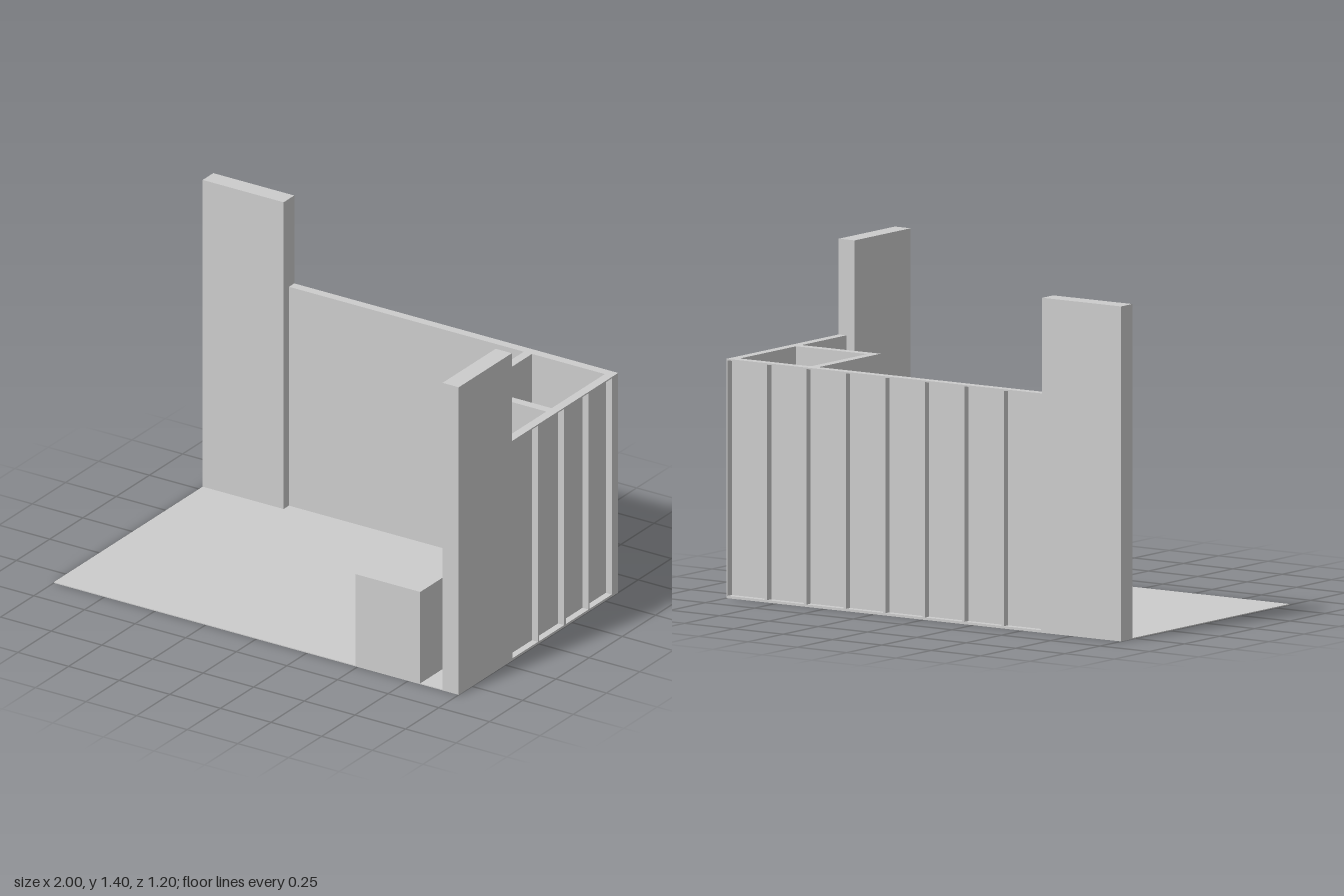
import * as THREE from 'three';

const material = new THREE.MeshStandardMaterial({ color: 0xcccccc });

// Box given by its two opposite corners
function block(parent, name, [x0, y0, z0], [x1, y1, z1]) {
  const mesh = new THREE.Mesh(new THREE.BoxGeometry(x1 - x0, y1 - y0, z1 - z0), material);
  mesh.position.set((x0 + x1) / 2, (y0 + y1) / 2, (z0 + z1) / 2);
  mesh.name = name;
  parent.add(mesh);
  return mesh;
}

// Wall running along local x, inner skin at local z = 0, open frame towards -z.
// posts: list of [start, end] along x
function framedWall(name, length, posts) {
  const wall = new THREE.Group();
  wall.name = name;
  const depth = 0.04, skin = 0.01;
  block(wall, 'skin', [0, 0, -skin], [length, 1, 0]);
  block(wall, 'topRail', [0, 0.994, -depth], [length, 1, -skin]);
  block(wall, 'bottomRail', [0, 0, -depth], [length, 0.01, -skin]);
  for (const [a, b] of posts) block(wall, 'post', [a, 0.01, -depth], [b, 0.994, -skin]);
  return wall;
}

export function createModel() {
  const booth = new THREE.Group();
  booth.name = 'exhibitionBooth';

  block(booth, 'floor', [-1, 0, -0.6], [1, 0.004, 0.6]);

  // Tall panels
  block(booth, 'backTower', [-1, 0, -0.6], [-0.6, 1.4, -0.52]);
  block(booth, 'sideTower', [0.92, 0, 0.2], [1, 1.4, 0.6]);

  // Back wall: eight equal bays
  const backPosts = [[0, 0.006], [1.594, 1.6]];
  for (let i = 1; i < 8; i++) backPosts.push([i * 0.2 - 0.006, i * 0.2 + 0.006]);
  const backWall = framedWall('backWall', 1.6, backPosts);
  backWall.position.set(-0.6, 0, -0.56);
  booth.add(backWall);

  // Side wall: four bays, turned so that its frame faces +x
  const sidePosts = [[0, 0.006], [0.197, 0.203], [0.393, 0.407], [0.577, 0.583], [0.752, 0.76]];
  const sideWall = framedWall('sideWall', 0.76, sidePosts);
  sideWall.rotation.y = Math.PI / 2;
  sideWall.scale.z = -1;
  sideWall.position.set(0.96, 0, 0.2);
  booth.add(sideWall);

  // Storage room in the corner, with a doorway
  const room = new THREE.Group();
  room.name = 'storageRoom';
  block(room, 'frontWall', [0.6, 0, -0.16], [0.96, 1, -0.12]);
  block(room, 'rearJamb', [0.56, 0, -0.56], [0.6, 1, -0.52]);
  block(room, 'frontJamb', [0.56, 0, -0.2], [0.6, 1, -0.12]);
  block(room, 'lintel', [0.56, 0.8, -0.52], [0.6, 1, -0.2]);
  booth.add(room);

  // Open door, hinged at the rear jamb
  const hinge = new THREE.Group();
  hinge.name = 'doorHinge';
  block(hinge, 'door', [-0.013, 0.004, 0], [0, 0.8, 0.315]);
  hinge.position.set(0.56, 0, -0.52);
  hinge.rotation.y = -Math.atan2(0.1, 0.29);
  booth.add(hinge);

  block(booth, 'counter', [0.49, 0, 0.42], [0.81, 0.42, 0.6]);

  return booth;
}
